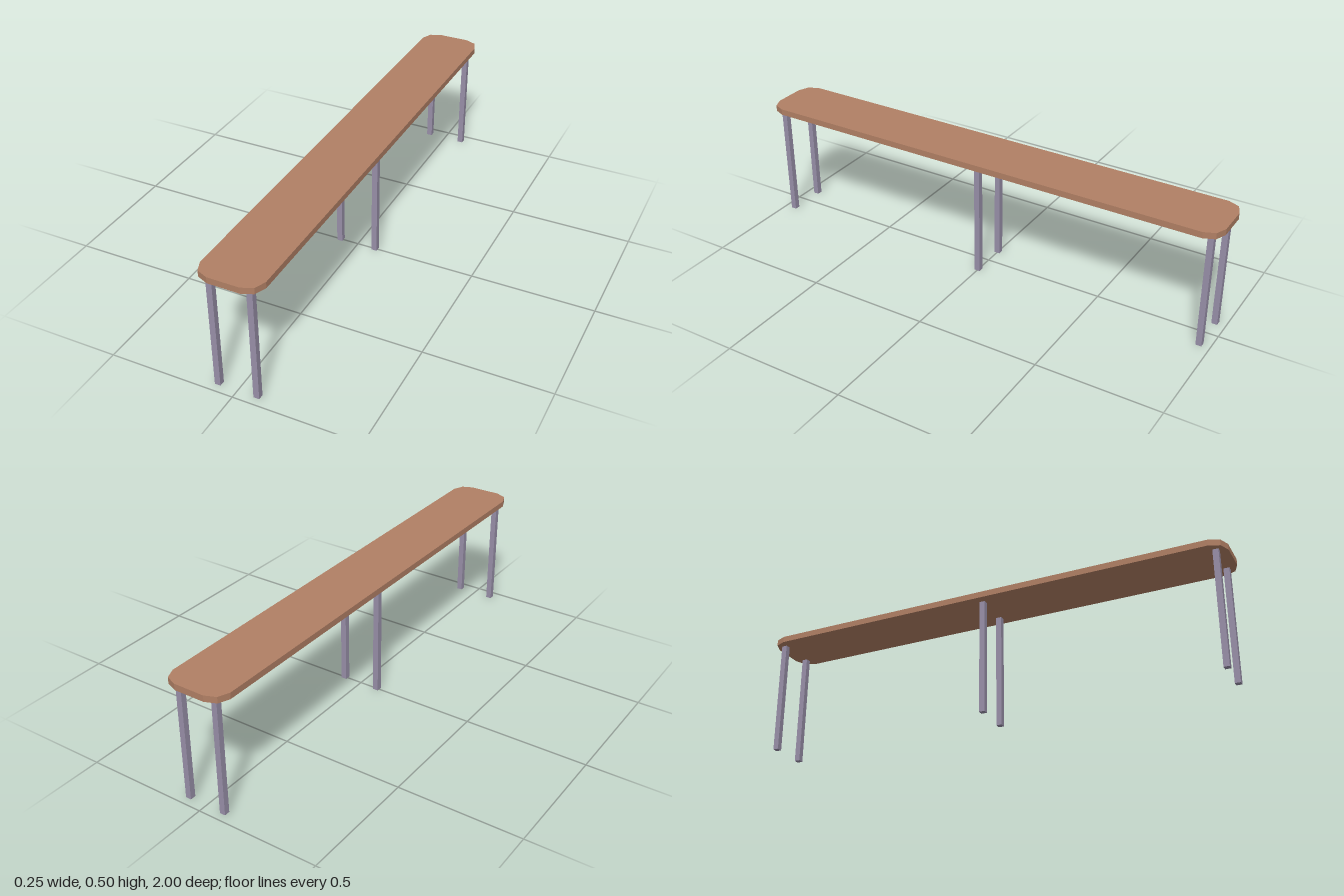
import * as THREE from 'three';

const HALF_W = 0.125, HALF_L = 1, TOP = 0.502, THICK = 0.025;
const LEG = 0.023, LEG_X = 0.078, LEG_Z = 0.957;

// Slab outline with two-facet rounded corners
function slabShape(radius, steps) {
  const points = [];
  [[1, 1], [-1, 1], [-1, -1], [1, -1]].forEach(([sx, sy], corner) => {
    for (let i = 0; i <= steps; i++) {
      const a = (corner + i / steps) * Math.PI / 2;
      points.push(new THREE.Vector2(
        sx * (HALF_W - radius) + radius * Math.cos(a),
        sy * (HALF_L - radius) + radius * Math.sin(a)));
    }
  });
  return new THREE.Shape(points);
}

export function createModel() {
  const group = new THREE.Group();
  group.name = 'bench';
  const wood = new THREE.MeshStandardMaterial({ color: 0xb07f64, flatShading: true });
  const metal = new THREE.MeshStandardMaterial({ color: 0x988fa8, flatShading: true });

  // Seat
  const seatGeometry = new THREE.ExtrudeGeometry(slabShape(0.0625, 2), { depth: THICK, bevelEnabled: false });
  seatGeometry.rotateX(-Math.PI / 2).translate(0, TOP - THICK, 0);
  const seat = new THREE.Mesh(seatGeometry, wood);
  seat.name = 'seat';
  group.add(seat);

  // Three pairs of square legs
  const legHeight = TOP - THICK;
  const legGeometry = new THREE.BoxGeometry(LEG, legHeight, LEG);
  for (const [row, z] of [['front', LEG_Z], ['middle', 0], ['back', -LEG_Z]]) {
    for (const [side, x] of [['Left', LEG_X], ['Right', -LEG_X]]) {
      const leg = new THREE.Mesh(legGeometry, metal);
      leg.name = `${row}${side}Leg`;
      leg.position.set(x, legHeight / 2, z);
      group.add(leg);
    }
  }
  return group;
}
